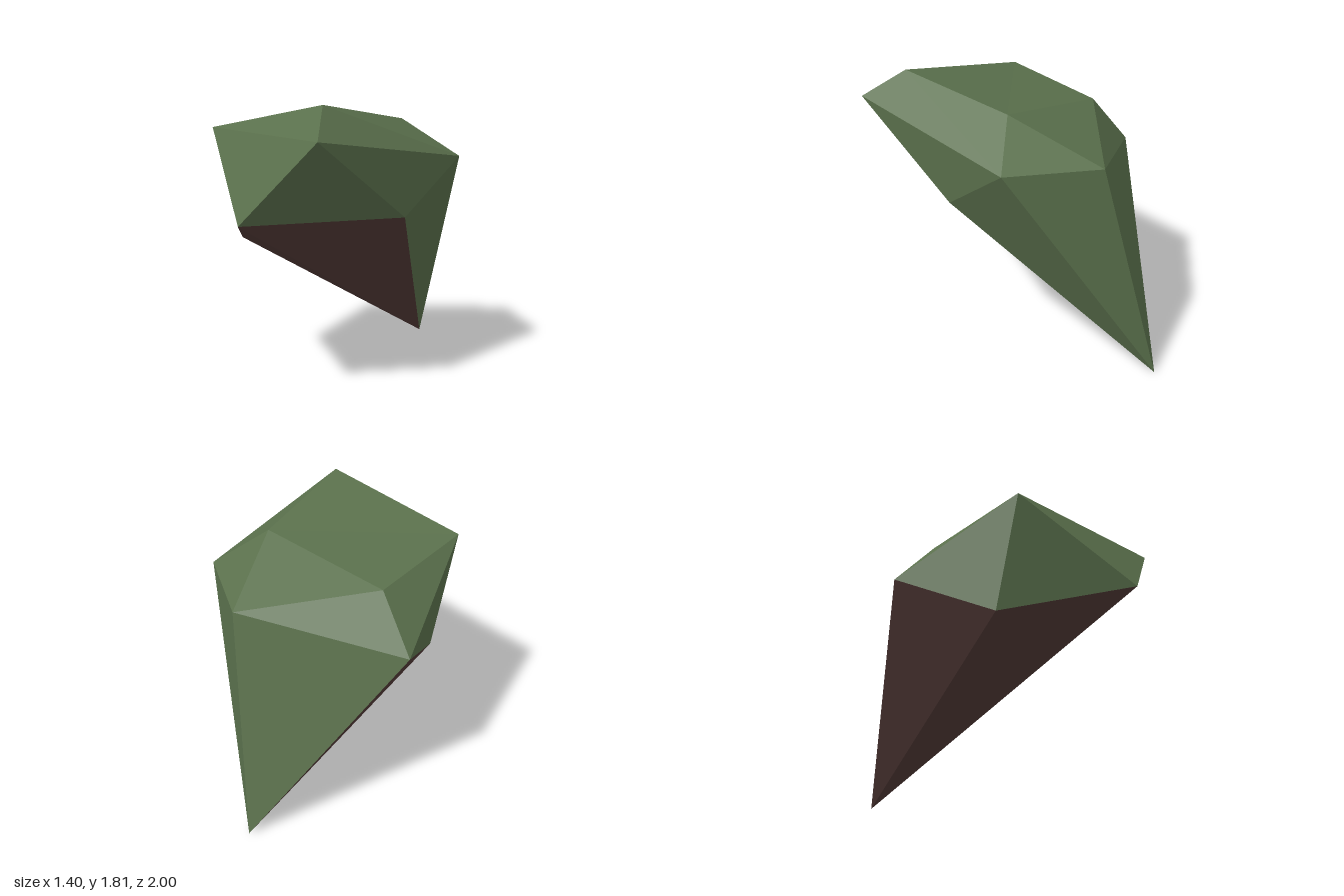
import * as THREE from 'three';

// Corners of the faceted stone
const P = {
  ridgeR: [-0.5, 1.63, 0.6], ridgeL: [0.485, 1.81, 0.615],
  browL: [0.665, 1.635, 0.84], nose: [0.2, 1.145, 1.0],
  chinR: [-0.47, 0.89, 0.4], sideR: [-0.705, 1.22, -0.23],
  jawL: [0.655, 1.13, 0.09], sideL: [0.7, 1.46, -0.385],
  tip: [-0.05, 0, -1], topR: [-0.44, 1.55, -0.14],
  topL: [0.41, 1.69, -0.17], back: [0.21, 1.445, -0.73],
};

const mossFaces = [
  // top
  'ridgeR ridgeL topL', 'ridgeR topL topR',
  // front
  'ridgeR browL ridgeL', 'ridgeR nose browL', 'ridgeR chinR nose', 'ridgeR sideR chinR',
  // left and right sides
  'browL nose jawL', 'browL jawL sideL', 'ridgeL browL sideL', 'ridgeL sideL topL',
  'ridgeR topR sideR', 'jawL tip sideL',
  // back
  'topL sideL back', 'topR topL back', 'topR back sideR', 'sideL tip back', 'back tip sideR',
];

const earthFaces = ['nose tip jawL', 'nose chinR tip', 'chinR sideR tip'];

// Builds flat triangles, each wound to face away from the stone's middle
function facets(name, faces, material) {
  const middle = new THREE.Vector3(0, 1.2, 0);
  const points = [];
  for (const face of faces) {
    let [a, b, c] = face.split(' ').map((k) => new THREE.Vector3(...P[k]));
    const normal = b.clone().sub(a).cross(c.clone().sub(a));
    if (normal.dot(a.clone().sub(middle)) < 0) [b, c] = [c, b];
    points.push(a, b, c);
  }
  const geometry = new THREE.BufferGeometry().setFromPoints(points);
  geometry.computeVertexNormals();
  const mesh = new THREE.Mesh(geometry, material);
  mesh.name = name;
  return mesh;
}

export function createModel() {
  const moss = new THREE.MeshStandardMaterial({ color: 0x5a704c });
  moss.name = 'moss green';
  const earth = new THREE.MeshStandardMaterial({ color: 0x523a37 });
  earth.name = 'earth brown';

  const group = new THREE.Group();
  group.name = 'stone';
  group.add(facets('mossyShell', mossFaces, moss), facets('earthUnderside', earthFaces, earth));
  return group;
}
